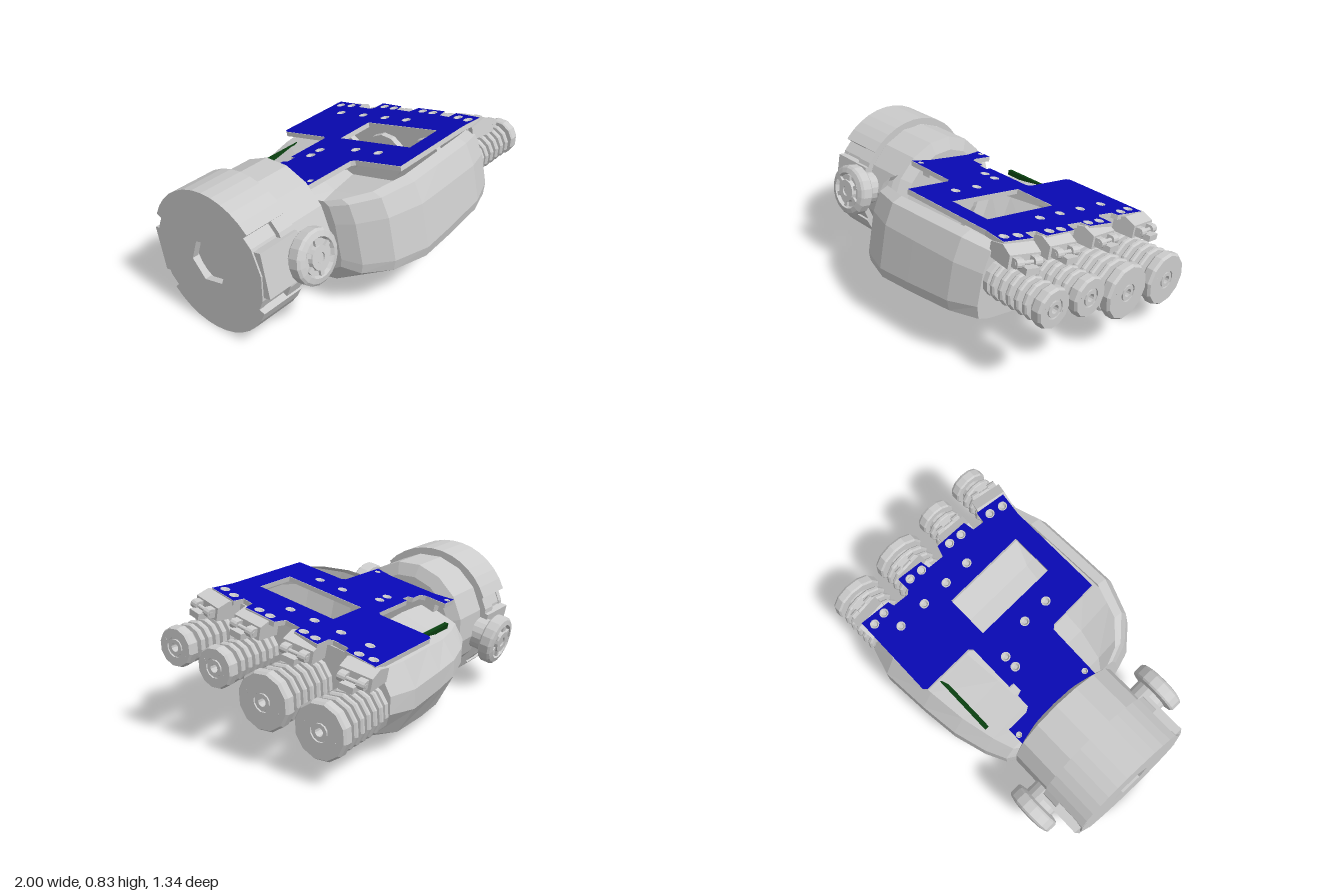
import * as THREE from 'three';

const grey = new THREE.MeshStandardMaterial({ color: 0xcccccc, flatShading: true, side: THREE.DoubleSide });
const blue = new THREE.MeshStandardMaterial({ color: 0x0808b4, flatShading: true, side: THREE.DoubleSide });
const green = new THREE.MeshStandardMaterial({ color: 0x0a4010, flatShading: true });

function add(parent, name, geo, x = 0, y = 0, z = 0, mat = grey) {
  const m = new THREE.Mesh(geo, mat);
  m.name = name;
  m.position.set(x, y, z);
  parent.add(m);
  return m;
}

// Turned part along +x; profile is [radius, x] pairs
function turned(profile, sides = 12) {
  return new THREE.LatheGeometry(profile.map(([r, x]) => new THREE.Vector2(r, x)), sides).rotateZ(-Math.PI / 2);
}

const box = (x, y, z) => new THREE.BoxGeometry(x, y, z);

// Skin over cross-sections [x, wMin, wMax, bottom, top, squareness, shoulder], open along the top
function palmShell() {
  const sections = [
    [-0.46, -0.35, 0.42, -0.28, 0.17, 0, 0.7], [-0.42, -0.42, 0.53, -0.33, 0.18, 0, 0.7],
    [-0.3, -0.48, 0.66, -0.345, 0.19, 0, 0.7], [-0.1, -0.54, 0.735, -0.345, 0.21, 0, 0.72],
    [0.13, -0.57, 0.73, -0.32, 0.215, 0.1, 0.85], [0.43, -0.595, 0.72, -0.275, 0.22, 0.3, 0.92],
    [0.6, -0.55, 0.67, -0.225, 0.2, 0.8, 0.92],
  ];
  const pos = [], index = [], n = 12;
  for (const [x, lo, hi, bottom, top, sq, shoulder] of sections) {
    // [across, height]; height is a share of top (+) or bottom (-)
    const ring = [[0.86, 1], [0.95, 0.85], [1, 0.25], [1, -0.6], [0.96, -0.77 - 0.2 * sq], [0.55 + 0.35 * sq, -1],
      [-0.72, -1], [-0.9, -0.72], [-1, -0.1], [-0.97, shoulder * 0.4], [-0.82, shoulder], [-0.36, 0.96]];
    for (const [a, h] of ring) pos.push(x, h > 0 ? h * top : -h * bottom, (lo + hi) / 2 + a * (hi - lo) / 2);
  }
  for (let i = 0; i < sections.length - 1; i++) {
    for (let j = 0; j < n - 1; j++) {
      const a = i * n + j, b = a + n;
      index.push(a, a + 1, b, a + 1, b + 1, b);
    }
  }
  // End walls as fans
  const last = (sections.length - 1) * n;
  for (let j = 1; j < n - 1; j++) index.push(0, j + 1, j, last, last + j, last + j + 1);
  const g = new THREE.BufferGeometry();
  g.setAttribute('position', new THREE.Float32BufferAttribute(pos, 3));
  g.setIndex(index);
  const flat = g.toNonIndexed();
  flat.computeVertexNormals();
  return flat;
}

// Notched top plate with window and screw holes
function topPlate(parent) {
  const w = z => (z + 0.142) / 0.978;
  const pts = a => a.map(([x, z]) => new THREE.Vector2(x, w(z)));
  const shape = new THREE.Shape(pts([
    [-0.46, -0.41], [-0.35, -0.41], [-0.35, -0.28], [-0.33, -0.25], [-0.25, -0.25], [-0.24, -0.22], [-0.18, -0.22],
    [-0.18, -0.25], [0.12, -0.25], [0.14, -0.27], [0.14, -0.58], [0.16, -0.6], [0.7, -0.6], [0.68, -0.41],
    [0.64, -0.4], [0.63, -0.3], [0.65, -0.28], [0.74, -0.28], [0.72, -0.12], [0.66, -0.11], [0.65, -0.01],
    [0.72, 0.01], [0.71, 0.21], [0.64, 0.22], [0.63, 0.29], [0.7, 0.3], [0.67, 0.48], [0.52, 0.46],
    [-0.09, 0.46], [-0.1, 0.16], [-0.12, 0.14], [-0.46, 0.13],
  ]));
  shape.holes.push(new THREE.Path(pts([[0.15, -0.15], [0.15, 0.35], [0.42, 0.35], [0.42, -0.15]])));
  const screws = [[-0.41, -0.39], [-0.41, 0.1], [-0.12, -0.15], [-0.04, -0.15], [0.03, 0.06], [0.03, 0.22],
    [0.52, -0.45], [0.52, -0.27], [0.52, -0.1], [0.52, 0.06], [0.64, -0.55], [0.65, -0.47], [0.69, -0.23],
    [0.68, -0.15], [0.68, 0.07], [0.67, 0.15], [0.64, 0.35], [0.62, 0.43]];
  screws.forEach(([x, z], i) => {
    const r = i < 2 ? 0.018 : 0.028;
    shape.holes.push(new THREE.Path().absarc(x, w(z), r, 0, Math.PI * 2, true));
    const s = add(parent, 'plateScrew', turned([[r, -0.025], [r, 0], [r * 0.75, 0], [r * 0.4, -0.012], [0, -0.012]], 10), x, 0.248, w(z));
    s.rotation.z = Math.PI / 2;
  });
  const geo = new THREE.ExtrudeGeometry(shape, { depth: 0.028, bevelEnabled: false, curveSegments: 6 });
  add(parent, 'topPlate', geo.rotateX(Math.PI / 2), 0, 0.248, 0);
  add(parent, 'plateFace', new THREE.ShapeGeometry(shape, 6).rotateX(Math.PI / 2), 0, 0.25, 0, blue);
}

// Ribbed finger with a bored tip
function finger(parent, w, v, r, yaw) {
  const g = new THREE.Group();
  g.name = 'finger';
  g.position.set(0, v, w);
  parent.add(g);
  add(g, 'fingerCollar', turned([[0, 0.56], [r * 0.9, 0.56], [r * 0.92, 0.63], [r * 0.6, 0.64]]));
  const ribs = [[r * 0.62, 0.6]];
  for (let i = 0; i < 5; i++) {
    const x = 0.645 + i * 0.056;
    ribs.push([r * 0.62, x], [r * 0.9, x + 0.003], [r * 0.96, x + 0.012], [r * 0.96, x + 0.026], [r * 0.9, x + 0.035], [r * 0.62, x + 0.038]);
  }
  ribs.push([r * 0.62, 0.95]);
  add(g, 'fingerBellows', turned(ribs));
  add(g, 'fingerTip', turned([[r * 0.5, 0.935], [r * 0.94, 0.935], [r, 0.945], [r, 0.985], [r * 0.93, 1],
    [0.055, 1], [0.055, 0.99], [0.045, 0.99], [0.045, 1], [0.024, 1], [0.024, 0.94]]));
  for (const s of [-1, 1]) add(g, 'tipPin', turned([[0.009, 0.99], [0.009, 1.001], [0, 1.001]], 8), 0, s * 0.02, s * r * 0.62);

  // Hinge joining plate and finger
  const k = new THREE.Group();
  k.name = 'knuckle';
  k.position.set(0.7, 0.2, w);
  k.rotation.y = yaw;
  parent.add(k);
  const wedge = new THREE.Shape([[-0.1, 0.02], [0, 0.045], [0.07, 0.015], [0.07, -0.06], [-0.1, -0.06]].map(p => new THREE.Vector2(...p)));
  add(k, 'knuckleBlock', new THREE.ExtrudeGeometry(wedge, { depth: 0.19, bevelEnabled: false }), 0, 0, -0.095);
  for (const s of [-1, 1]) {
    add(k, 'hingeLug', box(0.05, 0.05, 0.045), 0.07, -0.02, s * 0.055);
    add(k, 'hingeEye', new THREE.CylinderGeometry(0.026, 0.026, 0.045, 12).rotateX(Math.PI / 2), 0.095, -0.02, s * 0.055);
  }
  add(k, 'hingePin', new THREE.CylinderGeometry(0.012, 0.012, 0.16, 10).rotateX(Math.PI / 2), 0.095, -0.02, 0);
  add(k, 'hingeLink', box(0.1, 0.035, 0.08), 0.1, -0.045, 0);
}

// Cuff with end plate, raised pads and side pivots
function wrist(parent) {
  const g = new THREE.Group();
  g.name = 'wrist';
  parent.add(g);
  add(g, 'wristBarrel', turned([[0.36, -0.76], [0.374, -0.72], [0.374, -0.46], [0.3, -0.43], [0, -0.43]], 16));
  add(g, 'cuff', turned([[0.37, -0.995], [0.38, -0.98], [0.38, -0.73], [0.37, -0.72], [0.3, -0.72]], 16));
  add(g, 'cuffBand', turned([[0.375, -0.82], [0.41, -0.82], [0.41, -0.72], [0.375, -0.72]], 16));
  const end = new THREE.Shape().absarc(0, 0, 0.385, 0, Math.PI * 2);
  end.holes.push(new THREE.Path(Array.from({ length: 6 }, (_, i) =>
    new THREE.Vector2(0.13 * Math.cos(i * Math.PI / 3), 0.13 * Math.sin(i * Math.PI / 3)))));
  add(g, 'cuffEnd', new THREE.ExtrudeGeometry(end, { depth: 0.04, bevelEnabled: false, curveSegments: 8 }).rotateY(Math.PI / 2), -1, 0, 0);
  add(g, 'socketFloor', new THREE.CylinderGeometry(0.2, 0.2, 0.02, 12).rotateZ(Math.PI / 2), -0.9, 0, 0);
  for (const s of [-1, 1]) {
    // Curved pad over the top and the bottom
    const pad = new THREE.Shape();
    pad.absarc(0, 0, 0.414, s * Math.PI / 2 - 1, s * Math.PI / 2 + 1, false);
    pad.absarc(0, 0, 0.375, s * Math.PI / 2 + 1, s * Math.PI / 2 - 1, true);
    add(g, 'cuffPad', new THREE.ExtrudeGeometry(pad, { depth: 0.28, bevelEnabled: false, curveSegments: 6 }).rotateY(Math.PI / 2), -1, 0, 0);

    const p = new THREE.Group();
    p.name = 'sidePivot';
    p.position.x = -0.72;
    p.rotation.y = -s * Math.PI / 2;
    g.add(p);
    add(p, 'pivotDisc', turned([[0.1, 0.36], [0.1, 0.44], [0.145, 0.45], [0.153, 0.46], [0.153, 0.515], [0.14, 0.527], [0.11, 0.535],
      [0.1, 0.515], [0.07, 0.515], [0.065, 0.54], [0.03, 0.54], [0.025, 0.49], [0, 0.49]], 18));
    for (let i = 0; i < 3; i++) {
      const spoke = add(p, 'pivotSpoke', box(0.025, 0.2, 0.025), 0.518, 0, 0);
      spoke.rotation.x = i * Math.PI / 3;
    }
    add(g, 'pivotArm', box(0.27, 0.26, 0.05), -0.855, 0, s * 0.38);
  }
}

export function createModel() {
  const model = new THREE.Group();
  model.name = 'mechanicalHand';
  // The whole hand is rolled about its long axis
  const hand = new THREE.Group();
  hand.name = 'hand';
  hand.position.set(0, 0.42, -0.09);
  hand.rotation.x = -0.21;
  model.add(hand);

  wrist(hand);
  add(hand, 'palmShell', palmShell());
  topPlate(hand);
  add(hand, 'circuitBoard', box(0.38, 0.03, 0.025), -0.05, 0.175, -0.36, green);
  add(hand, 'plateSupport', box(0.06, 0.06, 0.4), -0.4, 0.19, 0);
  add(hand, 'knuckleRail', box(0.06, 0.08, 1.06), 0.61, 0.18, 0.07);

  finger(hand, 0.56, 0.014, 0.112, -0.2);
  finger(hand, 0.284, 0.011, 0.115, -0.08);
  finger(hand, -0.044, -0.037, 0.163, 0.05);
  finger(hand, -0.4, -0.037, 0.158, 0.08);
  return model;
}
